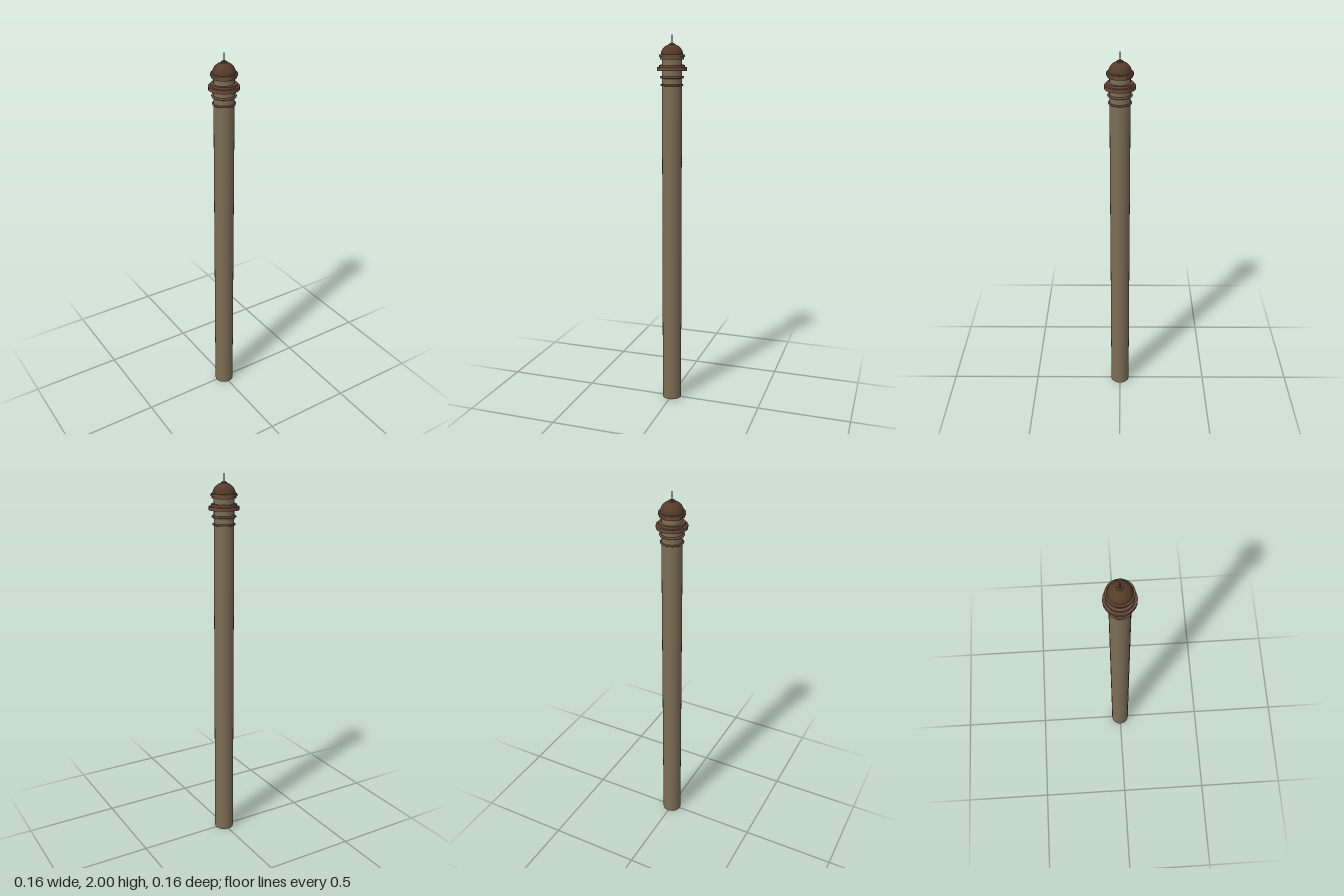
import * as THREE from 'three';

const mat = (color) => new THREE.MeshStandardMaterial({ color });

export function createModel() {
  const group = new THREE.Group();
  const stone = mat(0x7d6e55), trim = mat(0x6b4c3d), roof = mat(0x543c28), metal = mat(0x444444);

  // Upright drum standing from y0 to y1
  const drum = (name, rBottom, rTop, y0, y1, material, sides = 24) => {
    const mesh = new THREE.Mesh(new THREE.CylinderGeometry(rTop, rBottom, y1 - y0, sides), material);
    mesh.position.y = (y0 + y1) / 2;
    mesh.name = name;
    group.add(mesh);
  };

  // Round moulding wrapped around the shaft
  const moulding = (name, radius, tube, y) => {
    const mesh = new THREE.Mesh(new THREE.TorusGeometry(radius, tube, 8, 24), trim);
    mesh.rotation.x = Math.PI / 2;
    mesh.position.y = y;
    mesh.name = name;
    group.add(mesh);
  };

  // Tower shaft and its neck bands
  drum('shaft', 0.052, 0.052, 0, 1.82, stone);
  moulding('lowerBand', 0.055, 0.005, 1.748);
  moulding('upperBand', 0.057, 0.006, 1.787);

  // Gallery: projecting slab with a narrower step above
  drum('gallerySlab', 0.078, 0.078, 1.82, 1.838, trim);
  drum('galleryStep', 0.066, 0.066, 1.838, 1.85, trim);

  // Lantern and cornice
  drum('lantern', 0.052, 0.052, 1.85, 1.882, stone);
  drum('cornice', 0.062, 0.062, 1.878, 1.889, trim);
  drum('corniceCap', 0.067, 0.067, 1.889, 1.901, trim);

  // Dome
  const dome = new THREE.Mesh(
    new THREE.SphereGeometry(0.058, 24, 12, 0, Math.PI * 2, 0, Math.PI / 2), roof);
  dome.scale.y = 0.95;
  dome.position.y = 1.899;
  dome.name = 'dome';
  group.add(dome);

  // Finial
  drum('finialBase', 0.017, 0.015, 1.948, 1.957, trim, 12);
  drum('finialCollar', 0.008, 0.006, 1.957, 1.961, metal, 12);
  drum('finialSpike', 0.003, 0.002, 1.96, 2, metal, 8);

  return group;
}
